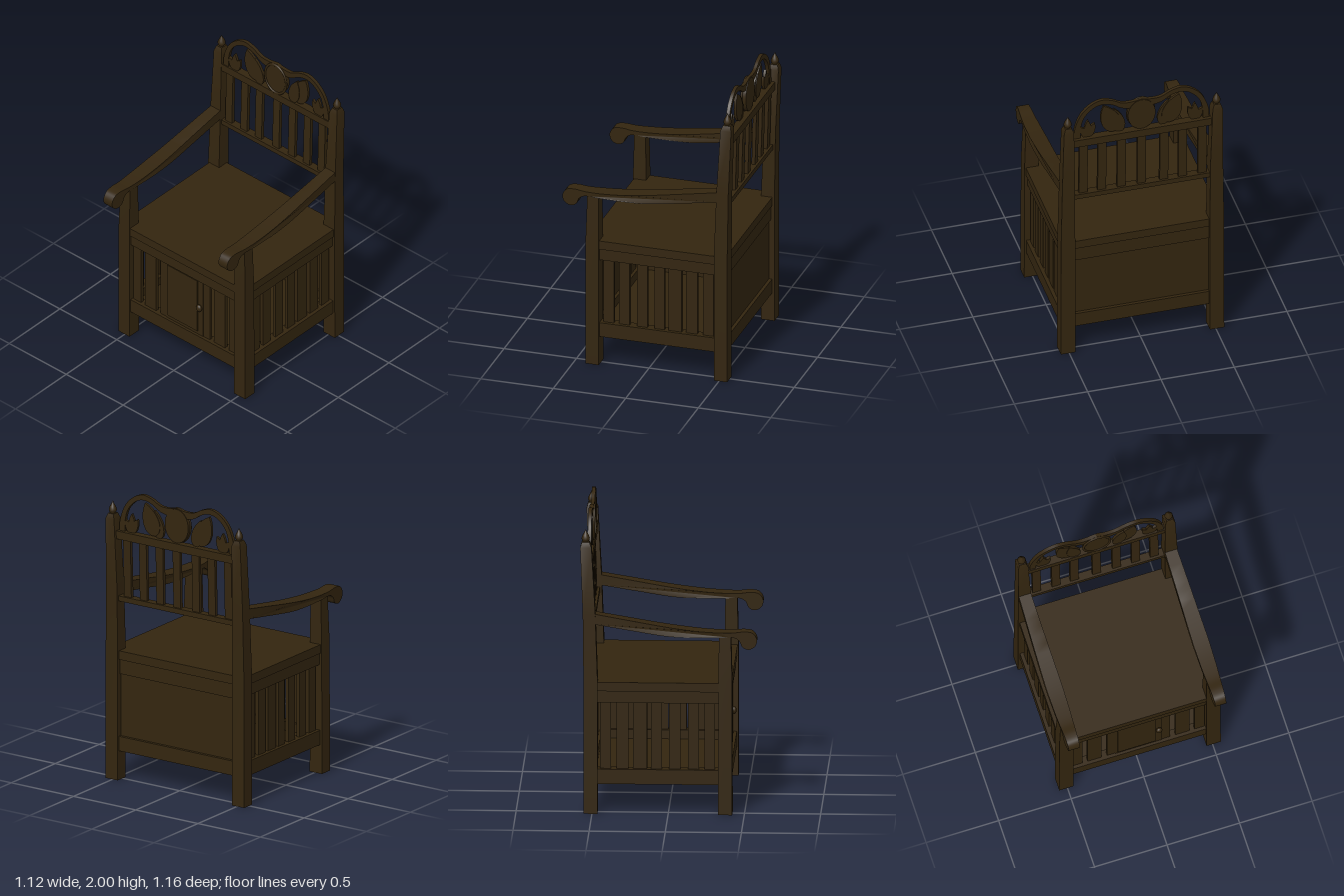
import * as THREE from 'three';
import { toCreasedNormals } from 'three/addons/utils/BufferGeometryUtils.js';

const wood = new THREE.MeshStandardMaterial({ color: 0x33250f });
wood.name = 'dark wood';

export function createModel() {
  const root = new THREE.Group();
  root.name = 'armchair';

  const add = (name, geometry) => {
    const mesh = new THREE.Mesh(geometry, wood);
    mesh.name = name;
    root.add(mesh);
    return mesh;
  };

  // Box given by its extents
  const box = (name, x0, x1, y0, y1, z0, z1) =>
    add(name, new THREE.BoxGeometry(x1 - x0, y1 - y0, z1 - z0)
      .translate((x0 + x1) / 2, (y0 + y1) / 2, (z0 + z1) / 2));

  // Square post through sections [y, xCentre, halfWidth, zCentre, halfDepth]
  const post = (name, s, rows) => {
    const g = new THREE.BoxGeometry(2, rows.length - 1, 2, 1, rows.length - 1, 1);
    g.translate(0, (rows.length - 1) / 2, 0);
    const p = g.attributes.position;
    for (let i = 0; i < p.count; i++) {
      const [y, cx, hx, cz, hz] = rows[Math.round(p.getY(i))];
      p.setXYZ(i, s * cx + p.getX(i) * hx, y, cz + p.getZ(i) * hz);
    }
    return add(name, toCreasedNormals(g, 0.4));
  };

  const spline = (pts) =>
    new THREE.CatmullRomCurve3(pts.map(([x, y]) => new THREE.Vector3(x, y, 0)), false, 'centripetal')
      .getPoints(pts.length * 4).map((v) => new THREE.Vector2(v.x, v.y));

  const plate = (name, shape, z, depth) =>
    add(name, toCreasedNormals(
      new THREE.ExtrudeGeometry(shape, { depth, bevelEnabled: false, curveSegments: 10 }).translate(0, 0, z), 0.6));

  // Arm outline as [z, y], and its inner and outer edges along z
  const armTop = [[-0.5, 1.355], [-0.25, 1.312], [0, 1.27], [0.2, 1.245], [0.35, 1.236], [0.43, 1.236],
    [0.5, 1.243], [0.555, 1.233], [0.583, 1.19], [0.572, 1.145], [0.53, 1.122], [0.488, 1.138], [0.468, 1.18], [0.43, 1.203]];
  const armBottom = [[0.33, 1.202], [0.15, 1.202], [0, 1.208], [-0.25, 1.245], [-0.5, 1.285]];
  const edges = [[-0.5, 0.462, 0.545], [-0.2, 0.459, 0.553], [0.15, 0.452, 0.561], [0.33, 0.455, 0.557], [0.6, 0.468, 0.542]];
  const edgeAt = (z) => {
    let i = 0;
    while (i < edges.length - 2 && z > edges[i + 1][0]) i++;
    const [a, b] = [edges[i], edges[i + 1]];
    const t = (z - a[0]) / (b[0] - a[0]);
    return [a[1] + (b[1] - a[1]) * t, a[2] + (b[2] - a[2]) * t];
  };
  const arm = (s) => {
    const shape = new THREE.Shape(spline([...armTop, ...armBottom]));
    const g = new THREE.ExtrudeGeometry(shape, { depth: 1, bevelEnabled: false });
    g.rotateY(-Math.PI / 2).translate(1, 0, 0);
    const p = g.attributes.position;
    for (let i = 0; i < p.count; i++) {
      const [inner, outer] = edgeAt(p.getZ(i));
      p.setX(i, (s > 0 ? inner : -outer) + p.getX(i) * (outer - inner));
    }
    add('armrest', toCreasedNormals(g, 0.6));
  };

  // Pointed leaf from base to tip
  const leaf = (s, bx, by, tx, ty, w, z, depth) => {
    const dx = tx - bx, dy = ty - by, len = Math.hypot(dx, dy);
    const nx = -dy / len * w, ny = dx / len * w;
    const at = (t, k) => [s * (bx + dx * t + nx * k), by + dy * t + ny * k];
    const shape = new THREE.Shape();
    shape.moveTo(...at(0, 0));
    shape.bezierCurveTo(...at(0.05, 1), ...at(0.6, 1.1), ...at(1, 0));
    shape.bezierCurveTo(...at(0.6, -1.1), ...at(0.05, -1), ...at(0, 0));
    plate('carvedLeaf', shape, z, depth);
  };

  const finial = [[0, 1.79], [0.027, 1.79], [0.03, 1.81], [0.02, 1.825], [0.016, 1.835], [0.025, 1.848],
    [0.027, 1.86], [0.02, 1.88], [0.009, 1.9], [0, 1.92]].map(([r, y]) => new THREE.Vector2(r, y));

  const archOuter = [[-0.462, 1.71], [-0.455, 1.8], [-0.41, 1.91], [-0.34, 1.975], [-0.27, 1.998], [-0.2, 1.982],
    [-0.13, 1.948], [-0.06, 1.945], [0, 1.955]];
  const archInner = [[0, 1.9], [-0.08, 1.895], [-0.14, 1.91], [-0.2, 1.947], [-0.27, 1.962], [-0.33, 1.942],
    [-0.39, 1.88], [-0.415, 1.8], [-0.418, 1.71]];

  for (const s of [-1, 1]) {
    // Posts, arms and finials
    post('frontLeg', s, [[0, 0.508, 0.049, 0.375, 0.046], [0.9, 0.507, 0.047, 0.375, 0.045], [1.21, 0.503, 0.041, 0.373, 0.039]]);
    post('backPost', s, [[0, 0.508, 0.049, -0.51, 0.046], [0.9, 0.507, 0.048, -0.51, 0.046],
      [1.35, 0.505, 0.043, -0.52, 0.041], [1.8, 0.507, 0.034, -0.541, 0.037], [1.835, 0.507, 0.022, -0.543, 0.025]]);
    arm(s);
    add('finial', new THREE.LatheGeometry(finial, 16).translate(s * 0.507, 0, -0.543));

    // Crest arch and carved leaves
    const mirror = (pts) => spline(pts.map(([x, y]) => [s * x, y]));
    plate('crestArch', new THREE.Shape([...mirror(archOuter), ...mirror(archInner)]), -0.533, 0.024);
    leaf(s, -0.175, 1.73, -0.258, 1.945, 0.082, -0.53, 0.018);
    leaf(s, -0.14, 1.715, -0.185, 1.905, 0.058, -0.526, 0.018);
    for (const [tx, ty] of [[-0.415, 1.8], [-0.365, 1.85], [-0.318, 1.82]])
      leaf(s, -0.365, 1.715, tx, ty, 0.033, -0.53, 0.018);

    // Side rails and slats
    const side = (name, a, b, y0, y1) => s > 0
      ? box(name, a, b, y0, y1, -0.47, 0.34) : box(name, -b, -a, y0, y1, -0.47, 0.34);
    side('seatEdge', 0.44, 0.545, 0.83, 0.89);
    side('sideTopRail', 0.475, 0.535, 0.75, 0.83);
    side('sideBottomRail', 0.475, 0.543, 0.2, 0.3);
    for (const [z, w] of [[0.272, 0.07], [0.164, 0.072], [0.042, 0.074], [-0.077, 0.07], [-0.185, 0.092], [-0.3, 0.078], [-0.413, 0.074]])
      box('sideSlat', s * 0.507 - 0.012, s * 0.507 + 0.012, 0.29, 0.76, z - w / 2, z + w / 2);

    // Front slats beside the door
    for (const [a, b] of [[0.386, 0.455], [0.254, 0.35], [0.16, 0.217]])
      box('frontSlat', Math.min(s * a, s * b), Math.max(s * a, s * b), 0.29, 0.76, 0.365, 0.388);
  }

  // Seat and base
  box('seat', -0.462, 0.462, 0.83, 0.89, -0.54, 0.415);
  box('frontTopRail', -0.47, 0.47, 0.75, 0.83, 0.35, 0.405);
  box('frontBottomRail', -0.47, 0.47, 0.2, 0.3, 0.345, 0.41);
  box('basePanel', -0.5, 0.5, 0.212, 0.24, -0.51, 0.37);
  box('backTopRail', -0.47, 0.47, 0.73, 0.83, -0.532, -0.48);
  box('backBottomRail', -0.47, 0.47, 0.2, 0.3, -0.54, -0.48);
  box('backPanel', -0.47, 0.47, 0.29, 0.74, -0.518, -0.495);

  // Door with raised panel and knob
  box('door', -0.162, 0.16, 0.3, 0.75, 0.365, 0.392);
  box('doorPanel', -0.145, 0.115, 0.325, 0.738, 0.38, 0.398);
  add('doorKnob', new THREE.SphereGeometry(0.022, 16, 10).scale(1, 1.2, 0.75).translate(0.137, 0.53, 0.405));

  // Back rest rails and leaning slats
  box('backRestTopRail', -0.485, 0.485, 1.665, 1.72, -0.556, -0.502);
  box('backRestBottomRail', -0.475, 0.475, 1.235, 1.27, -0.545, -0.49);
  for (const x of [-0.413, -0.28, -0.153, 0, 0.137, 0.27, 0.397])
    post('backRestSlat', 1, [[1.25, x, 0.029, -0.517, 0.012], [1.69, x, 0.029, -0.529, 0.012]]);

  // Central medallion with rim
  add('medallion', new THREE.CylinderGeometry(1, 1, 0.032, 40).rotateX(Math.PI / 2)
    .scale(0.094, 0.116, 1).translate(0, 1.835, -0.521));
  add('medallionRim', new THREE.TorusGeometry(0.092, 0.008, 8, 40).scale(1, 1.22, 1).translate(0, 1.835, -0.506));

  return root;
}
